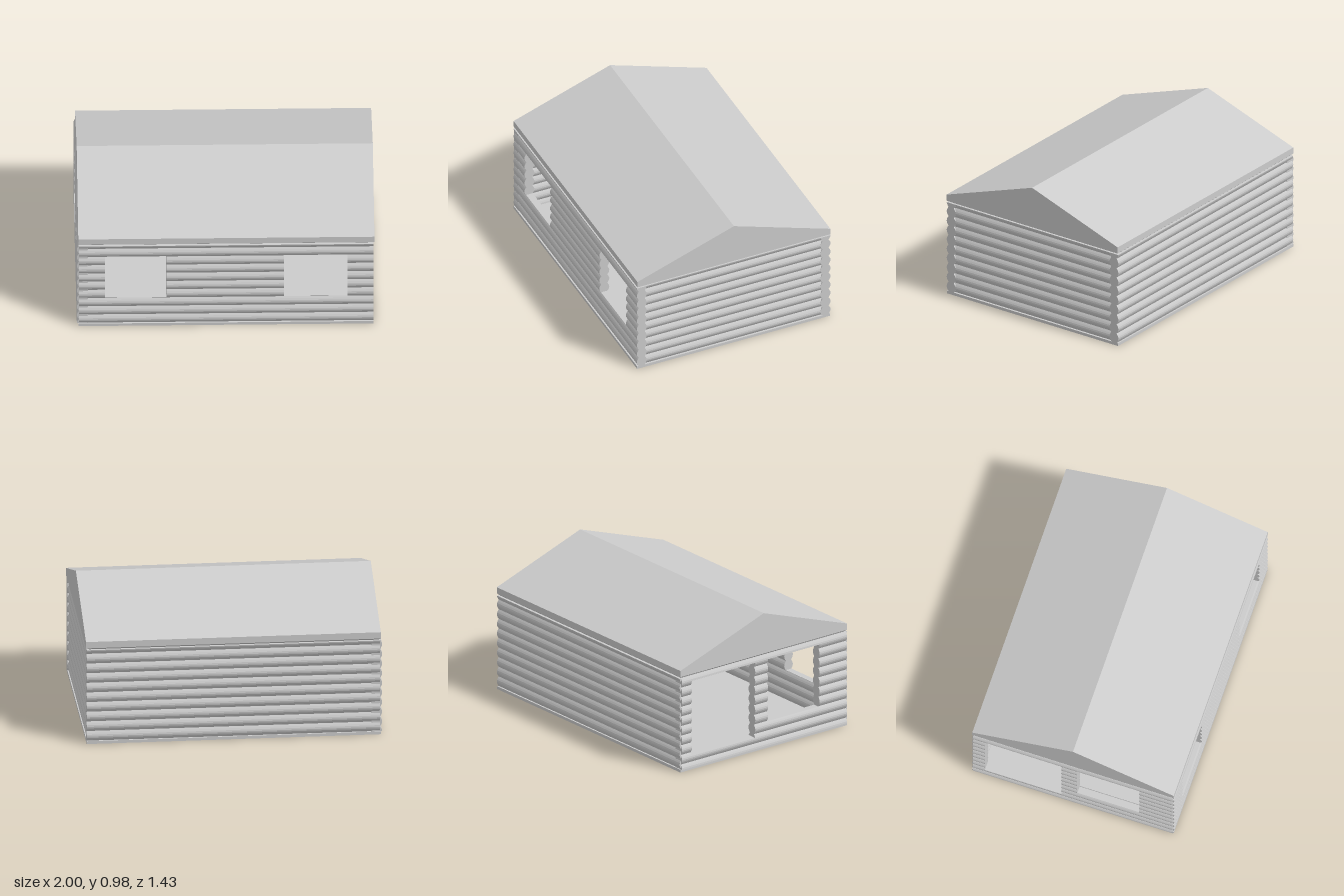
import * as THREE from 'three';

const material = new THREE.MeshStandardMaterial({ color: 0xcccccc, flatShading: true });
const FLOOR = 0.02, PITCH = 0.069, TOP = 0.672;

// Half thickness of a log wall at height y; shift moves the grooves up by part of a log
function halfWidth(y, shift) {
  const t = (((y - FLOOR) / PITCH - shift) % 1 + 1) % 1;
  return 0.022 + 0.015 * Math.sin(Math.PI * t);
}

// A stretch of stacked logs running from a to b along x
function logStretch(a, b, y0, y1, shift) {
  const step = PITCH / 6, ys = [y0];
  for (let k = Math.ceil((y0 - FLOOR) / step + 0.01); FLOOR + k * step < y1 - 0.001; k++) ys.push(FLOOR + k * step);
  ys.push(y1);
  const right = ys.map(y => new THREE.Vector2(halfWidth(y, shift), y));
  const left = ys.map(y => new THREE.Vector2(-halfWidth(y, shift), y)).reverse();
  const geometry = new THREE.ExtrudeGeometry(new THREE.Shape([...right, ...left]), { depth: b - a, bevelEnabled: false });
  geometry.translate(0, 0, a);
  geometry.rotateY(Math.PI / 2);
  return new THREE.Mesh(geometry, material);
}

// A log wall along x with openings [a, b, sill, head], ordered by a
function logWall(name, from, to, openings = [], shift = 0) {
  const wall = new THREE.Group();
  wall.name = name;
  const add = (a, b, y0, y1) => {
    const part = logStretch(a, b, y0, y1, shift);
    part.name = name + 'Logs';
    wall.add(part);
  };
  let start = from;
  for (const [a, b, sill, head] of openings) {
    add(start, a, FLOOR, TOP);
    add(a, b, FLOOR, sill);
    add(a, b, head, TOP);
    start = b;
  }
  add(start, to, FLOOR, TOP);
  return wall;
}

export function createModel() {
  const cabin = new THREE.Group();
  cabin.name = 'logCabin';

  // Floor slab with a small fixing hole near each corner
  const slab = new THREE.Shape([[-0.99, -0.712], [0.99, -0.712], [0.99, 0.712], [-0.99, 0.712]].map(p => new THREE.Vector2(...p)));
  for (const x of [-0.92, 0.92]) for (const z of [-0.645, 0.645]) {
    slab.holes.push(new THREE.Path().absarc(x, z, 0.02, 0, Math.PI * 2, true));
  }
  const floorGeometry = new THREE.ExtrudeGeometry(slab, { depth: FLOOR, bevelEnabled: false, curveSegments: 6 });
  floorGeometry.rotateX(-Math.PI / 2);
  const floor = new THREE.Mesh(floorGeometry, material);
  floor.name = 'floor';
  cabin.add(floor);

  // Front wall with two windows, plain back wall
  const front = logWall('frontWall', -0.985, 0.99, [[-0.81, -0.4, 0.23, 0.575], [0.39, 0.815, 0.23, 0.575]]);
  front.position.z = 0.678;
  const back = logWall('backWall', -0.985, 0.99);
  back.position.z = -0.678;

  // Plain wall on the left, and the opposite wall with a doorway and a window
  const left = logWall('leftWall', -0.66, 0.66);
  left.position.x = 0.953;
  left.rotation.y = -Math.PI / 2;
  const right = logWall('rightWall', -0.705, 0.705, [[-0.62, -0.08, 0.1, 0.64], [0.03, 0.47, 0.19, 0.64]], 0.5);
  right.position.x = -0.963;
  right.rotation.y = -Math.PI / 2;
  cabin.add(front, back, left, right);

  // Tapered plate between the walls and the roof
  const plateGeometry = new THREE.BoxGeometry(1.98, 0.02, 1.424);
  const p = plateGeometry.attributes.position;
  for (let i = 0; i < p.count; i++) {
    if (p.getY(i) < 0) p.setXYZ(i, p.getX(i) * 0.975, p.getY(i), p.getZ(i) * 0.966);
  }
  const plate = new THREE.Mesh(plateGeometry, material);
  plate.name = 'wallPlate';
  plate.position.y = 0.675;
  cabin.add(plate);

  // Gabled roof
  const gable = new THREE.Shape([[-0.712, 0.685], [0.712, 0.685], [0.712, 0.73], [0, 0.975], [-0.712, 0.73]].map(q => new THREE.Vector2(...q)));
  const roofGeometry = new THREE.ExtrudeGeometry(gable, { depth: 1.985, bevelEnabled: false });
  roofGeometry.translate(0, 0, -0.99);
  roofGeometry.rotateY(Math.PI / 2);
  const roof = new THREE.Mesh(roofGeometry, material);
  roof.name = 'roof';
  cabin.add(roof);

  return cabin;
}
